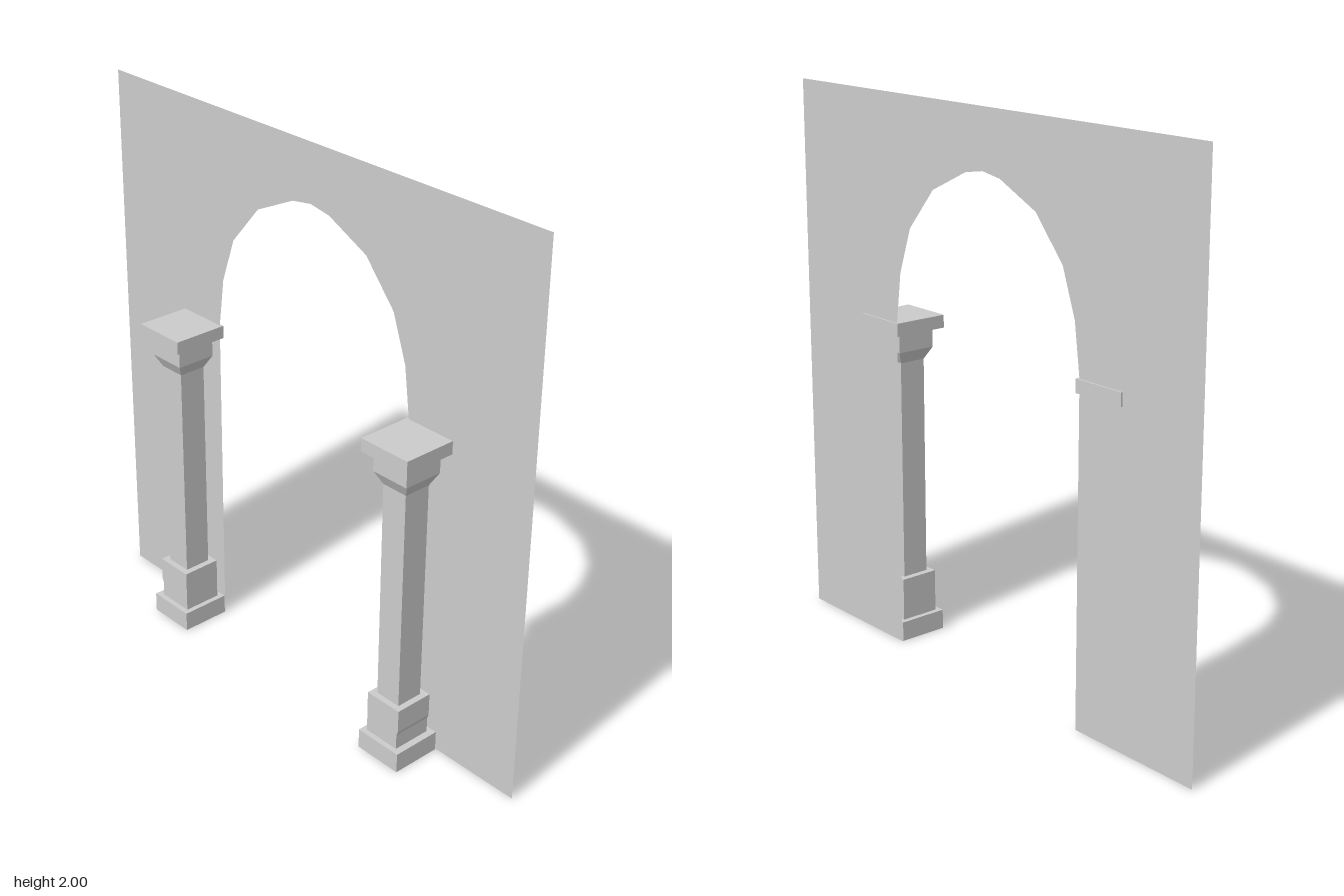
import * as THREE from 'three';

const grey = new THREE.MeshStandardMaterial({ color: 0xcccccc, flatShading: true });
const sheet = new THREE.MeshStandardMaterial({ color: 0xcccccc, side: THREE.DoubleSide });

function add(parent, name, geometry, material = grey) {
  const mesh = new THREE.Mesh(geometry, material);
  mesh.name = name;
  parent.add(mesh);
  return mesh;
}

// Square block between two heights
function block(parent, name, width, depth, y0, y1) {
  add(parent, name, new THREE.BoxGeometry(width, y1 - y0, depth)).position.y = (y0 + y1) / 2;
}

// One column; side is +1 for left, -1 for right
function makeColumn(side) {
  const column = new THREE.Group();
  column.name = side > 0 ? 'leftColumn' : 'rightColumn';
  column.position.x = 0.559 * side;

  block(column, 'plinth', 0.184, 0.185, 0, 0.073);

  // Pedestal, its outer face stepping in slightly towards the bottom
  const outline = [[-0.073, 0.073], [0.067, 0.073], [0.067, 0.13], [0.073, 0.145], [0.073, 0.23], [-0.073, 0.23]];
  const pedestal = new THREE.Shape(outline.map(([x, y]) => new THREE.Vector2(x * side, y)));
  const pedestalGeometry = new THREE.ExtrudeGeometry(pedestal, { depth: 0.146, bevelEnabled: false });
  add(column, 'pedestal', pedestalGeometry.translate(0, 0, -0.073));

  block(column, 'shaft', 0.1, 0.102, 0.23, 1.04);

  // Flared collar under the capital
  const collar = new THREE.CylinderGeometry(0.074 * Math.SQRT2, 0.051 * Math.SQRT2, 0.045, 4);
  add(column, 'collar', collar.rotateY(Math.PI / 4)).position.y = 1.0625;

  block(column, 'neck', 0.148, 0.148, 1.085, 1.155);
  block(column, 'capital', 0.204, 0.206, 1.155, 1.202);
  return column;
}

export function createModel() {
  const model = new THREE.Group();
  model.name = 'archway';

  // Flat wall sheet cut by a faceted arch
  const half = [[0.468, 0], [0.468, 1.2], [0.444, 1.383], [0.386, 1.548], [0.258, 1.697], [0.086, 1.778]];
  const mirrored = half.map(([x, y]) => [-x, y]).reverse();
  const outline = [[-1, 0], [-1, 2], [1, 2], [1, 0], ...half, [0, 1.792], ...mirrored];
  const wall = new THREE.Shape(outline.map(([x, y]) => new THREE.Vector2(x, y)));
  add(model, 'wall', new THREE.ShapeGeometry(wall), sheet).position.z = -0.096;

  for (const side of [1, -1]) model.add(makeColumn(side));
  return model;
}
